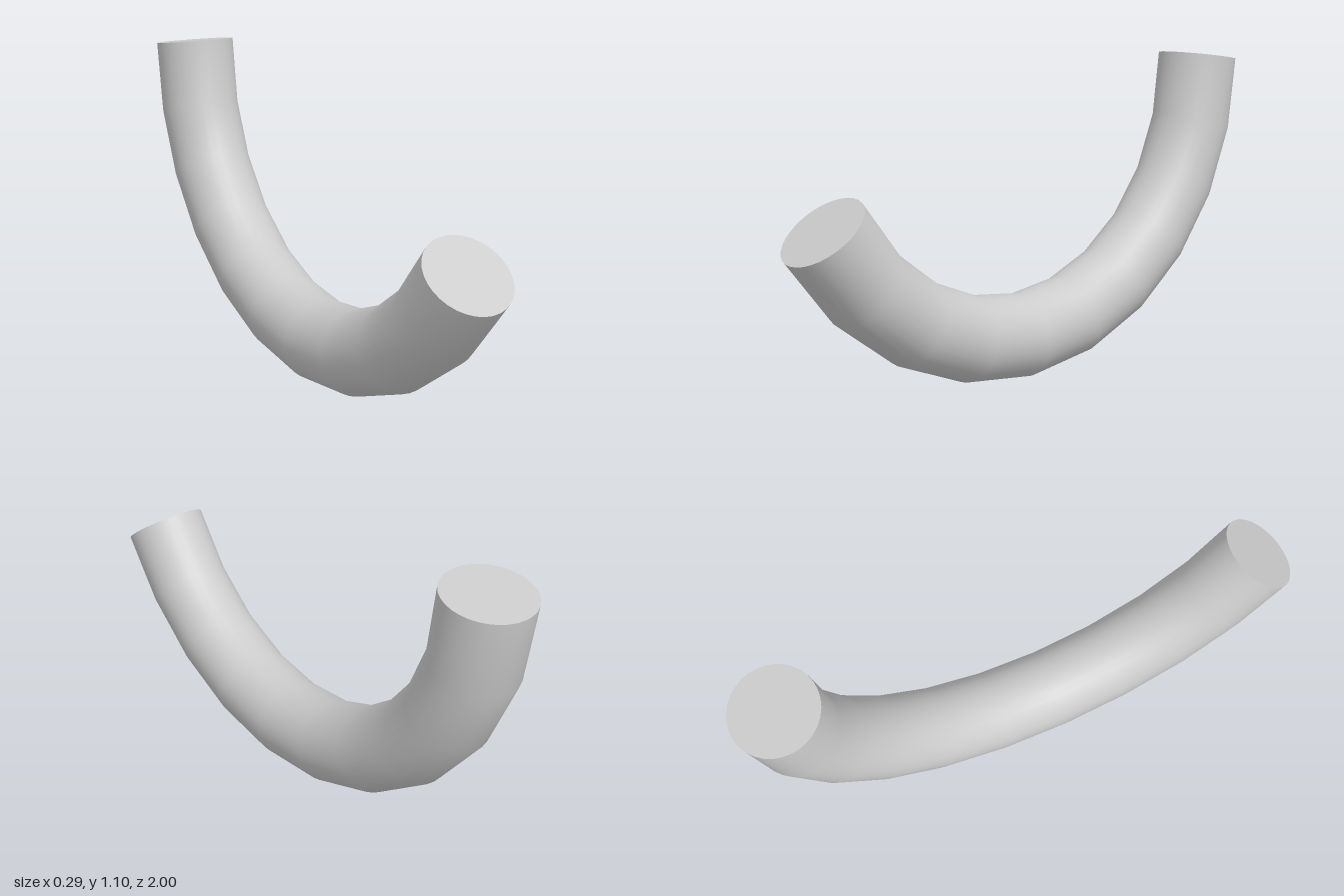
import * as THREE from 'three';

const SEGMENTS = 10;          // straight pieces along the bend
const STEP = Math.PI / 12;    // 15 degrees between rings
const START = -Math.PI / 3;   // front end, measured from the lowest point
const BEND = 0.924;           // centre-line radius
const TUBE = 0.147;           // tube radius
const END_LENGTH = 0.253;     // length of the first and last pieces
const CENTRE = new THREE.Vector3(0, 1.074, 0.074);

// Position and tilt of ring i; end rings are square to their last straight piece
function ringAt(i) {
  const isEnd = i === 0 || i === SEGMENTS;
  const sign = i === 0 ? -1 : 1;
  const a = START + (isEnd ? i - sign : i) * STEP;
  const position = new THREE.Vector3(0, -BEND * Math.cos(a), -BEND * Math.sin(a)).add(CENTRE);
  const tilt = isEnd ? a + sign * STEP / 2 : a;
  if (isEnd) {
    position.addScaledVector(new THREE.Vector3(0, Math.sin(tilt), -Math.cos(tilt)), sign * END_LENGTH);
  }
  return { position, angle: tilt - Math.PI / 2 };
}

// Capped cylinder whose rings are carried along the arc
function bentTube() {
  const geometry = new THREE.CylinderGeometry(TUBE, TUBE, 1, 32, SEGMENTS);
  const rings = Array.from({ length: SEGMENTS + 1 }, (_, i) => ringAt(i));
  const xAxis = new THREE.Vector3(1, 0, 0);
  const { position, normal } = geometry.attributes;
  const v = new THREE.Vector3();
  for (let i = 0; i < position.count; i++) {
    v.fromBufferAttribute(position, i);
    const ring = rings[Math.round((v.y + 0.5) * SEGMENTS)];
    v.setY(0).applyAxisAngle(xAxis, ring.angle).add(ring.position);
    position.setXYZ(i, v.x, v.y, v.z);
    v.fromBufferAttribute(normal, i).applyAxisAngle(xAxis, ring.angle);
    normal.setXYZ(i, v.x, v.y, v.z);
  }
  return geometry;
}

export function createModel() {
  const group = new THREE.Group();
  const tube = new THREE.Mesh(bentTube(), new THREE.MeshStandardMaterial({ color: 0xcccccc }));
  tube.name = 'curvedTube';
  group.add(tube);
  return group;
}
